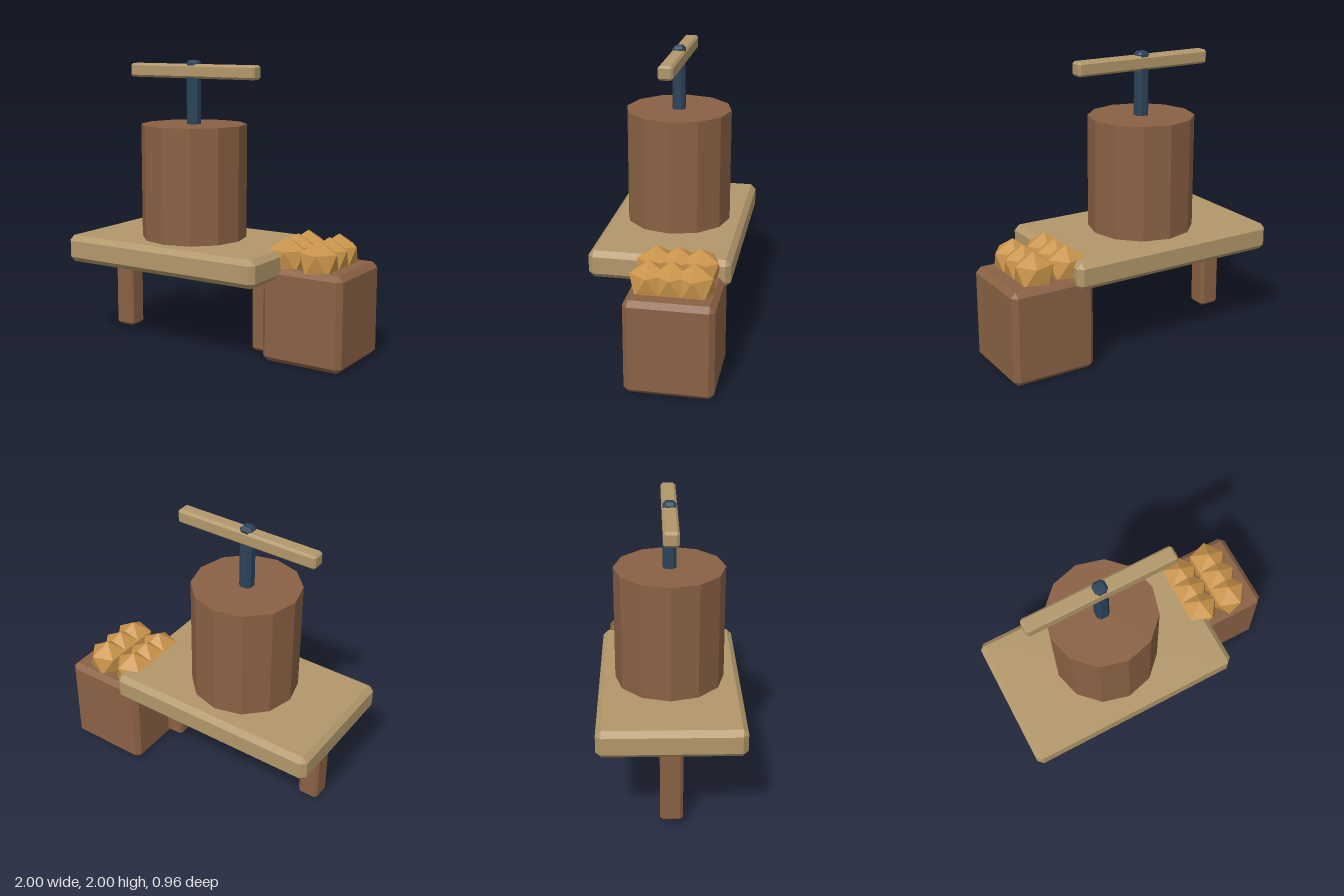
import * as THREE from 'three';
import { ConvexGeometry } from 'three/addons/geometries/ConvexGeometry.js';

const material = (name, color) => {
  const m = new THREE.MeshStandardMaterial({ color });
  m.name = name;
  return m;
};

// Box between two corners, all edges cut by a single flat chamfer
function chamferBox([x0, y0, z0], [x1, y1, z1], c) {
  const h = [(x1 - x0) / 2, (y1 - y0) / 2, (z1 - z0) / 2];
  const points = [];
  for (const sx of [-1, 1]) for (const sy of [-1, 1]) for (const sz of [-1, 1]) {
    for (let axis = 0; axis < 3; axis++) {
      const [x, y, z] = h.map((v, i) => (i === axis ? v : v - c));
      points.push(new THREE.Vector3(sx * x, sy * y, sz * z));
    }
  }
  return new ConvexGeometry(points).translate((x0 + x1) / 2, (y0 + y1) / 2, (z0 + z1) / 2);
}

// Icosahedron standing on a point: two poles and two staggered rings of five
function nugget(r) {
  const points = [new THREE.Vector3(0, r, 0), new THREE.Vector3(0, -r, 0)];
  for (let k = 0; k < 10; k++) {
    const a = (k * Math.PI) / 5;
    const y = k % 2 ? -0.447 : 0.447;
    points.push(new THREE.Vector3(0.894 * Math.cos(a), y, 0.894 * Math.sin(a)).multiplyScalar(r));
  }
  return new ConvexGeometry(points);
}

export function createModel() {
  const group = new THREE.Group();
  group.name = 'pressTable';
  const darkWood = material('darkWood', 0x8a6144);
  const lightWood = material('lightWood', 0xb2976a);
  const iron = material('iron', 0x2b4359);
  const amber = material('amber', 0xc8934a);

  const add = (name, geometry, mat) => {
    const mesh = new THREE.Mesh(geometry, mat);
    mesh.name = name;
    group.add(mesh);
    return mesh;
  };

  // Table: slab on two central legs
  add('tableTop', chamferBox([-1, 0.575, -0.478], [0.545, 0.765, 0.478], 0.036), lightWood);
  add('rightLeg', chamferBox([-0.89, 0.035, -0.075], [-0.74, 0.62, 0.075], 0.02), darkWood);
  add('leftLeg', chamferBox([0.29, 0.035, -0.075], [0.44, 0.62, 0.075], 0.02), darkWood);

  // Twelve-sided barrel with flat faces
  const barrel = new THREE.CylinderGeometry(0.369, 0.369, 0.81, 12).toNonIndexed();
  barrel.computeVertexNormals();
  add('barrel', barrel, darkWood).position.set(-0.228, 1.155, 0);

  // Screw post and turning handle
  add('screwPost', chamferBox([-0.272, 1.4, -0.044], [-0.184, 2, 0.044], 0.02), iron);
  add('handle', chamferBox([-0.745, 1.875, -0.05], [0.288, 1.972, 0.05], 0.015), lightWood);

  // Crate beside the table, heaped with nuggets
  add('crate', chamferBox([0.408, 0, -0.442], [1, 0.65, 0.145], 0.035), darkWood);
  const nuggetGeometry = nugget(0.145);
  for (const x of [0.536, 0.772]) {
    for (const z of [-0.283, -0.137, 0.009]) {
      add('nugget', nuggetGeometry, amber).position.set(x, 0.7, z);
    }
  }
  return group;
}
